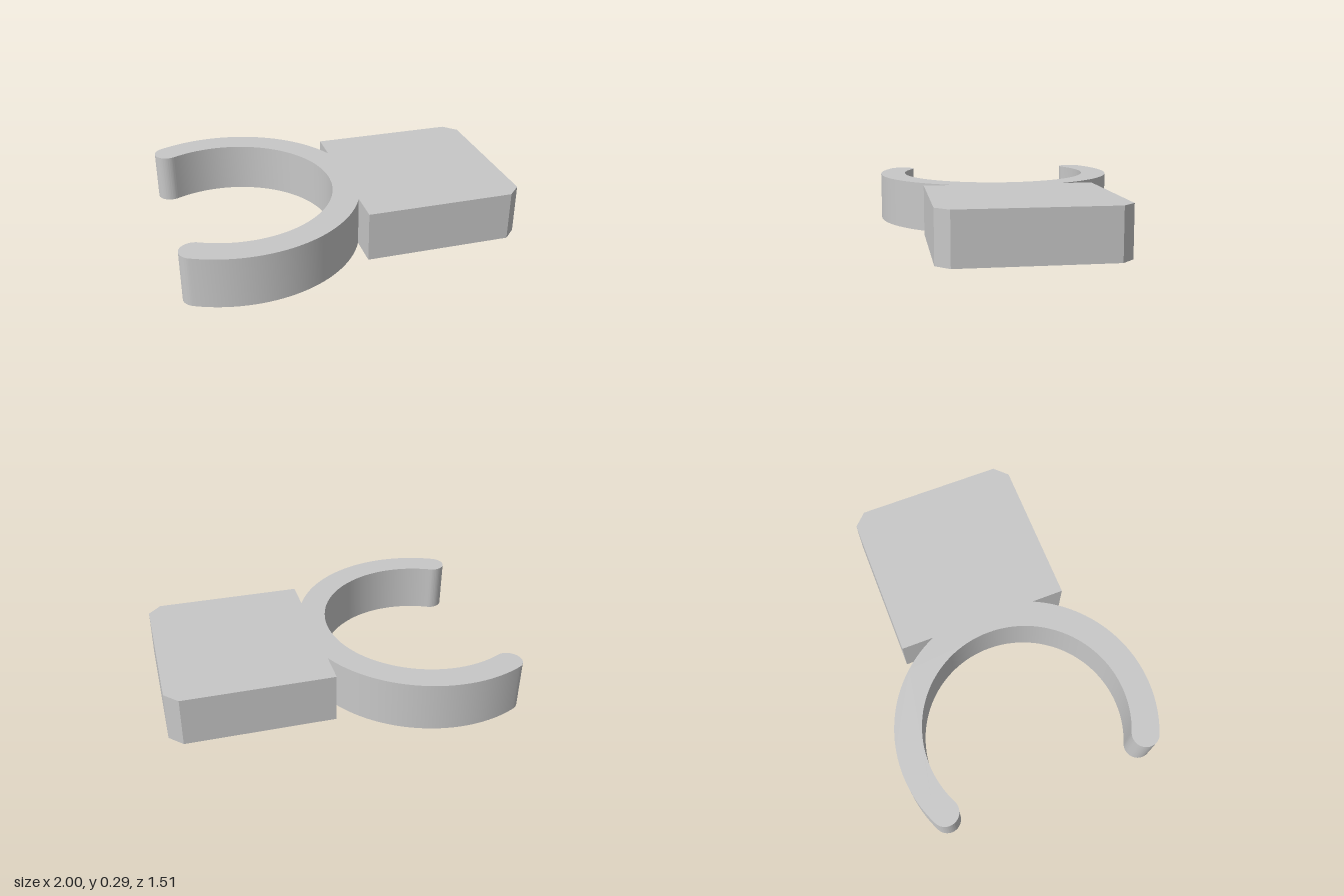
import * as THREE from 'three';
import { toCreasedNormals } from 'three/addons/utils/BufferGeometryUtils.js';

const HEIGHT = 0.293;
const CX = -0.625;            // centre of the ring
const OUTER = 0.755, INNER = 0.597;
const MID = (OUTER + INNER) / 2, CAP = (OUTER - INNER) / 2;
const TIP = THREE.MathUtils.degToRad(116.1); // angle where each arm ends
const BLOCK_X = 0.06, BLOCK_Z = 0.51, CHAMFER = 0.075;

export function createModel() {
  const group = new THREE.Group();
  group.name = 'snapClip';
  const grey = new THREE.MeshStandardMaterial({ color: 0xc8c8c8 });
  grey.name = 'light grey';

  // Angle where the ring's outer wall meets the block
  const join = Math.acos((BLOCK_X - CX) / OUTER);
  const tipX = CX + MID * Math.cos(TIP), tipZ = MID * Math.sin(TIP);

  const outline = new THREE.Shape();
  // Chamfered block
  outline.moveTo(BLOCK_X, -BLOCK_Z);
  outline.lineTo(1 - CHAMFER, -BLOCK_Z);
  outline.lineTo(1, -BLOCK_Z + CHAMFER);
  outline.lineTo(1, BLOCK_Z - CHAMFER);
  outline.lineTo(1 - CHAMFER, BLOCK_Z);
  outline.lineTo(BLOCK_X, BLOCK_Z);
  // Open ring with rounded arm tips
  outline.absarc(CX, 0, OUTER, join, TIP, false);
  outline.absarc(tipX, tipZ, CAP, TIP, TIP + Math.PI, false);
  outline.absarc(CX, 0, INNER, TIP, -TIP, true);
  outline.absarc(tipX, -tipZ, CAP, -TIP - Math.PI, -TIP, false);
  outline.absarc(CX, 0, OUTER, -TIP, -join, false);
  outline.closePath();

  const geometry = new THREE.ExtrudeGeometry(outline, {
    depth: HEIGHT, bevelEnabled: false, curveSegments: 40,
  });
  geometry.rotateX(-Math.PI / 2);

  const clip = new THREE.Mesh(toCreasedNormals(geometry, 0.5), grey);
  clip.name = 'clipRingAndBlock';
  group.add(clip);
  return group;
}
